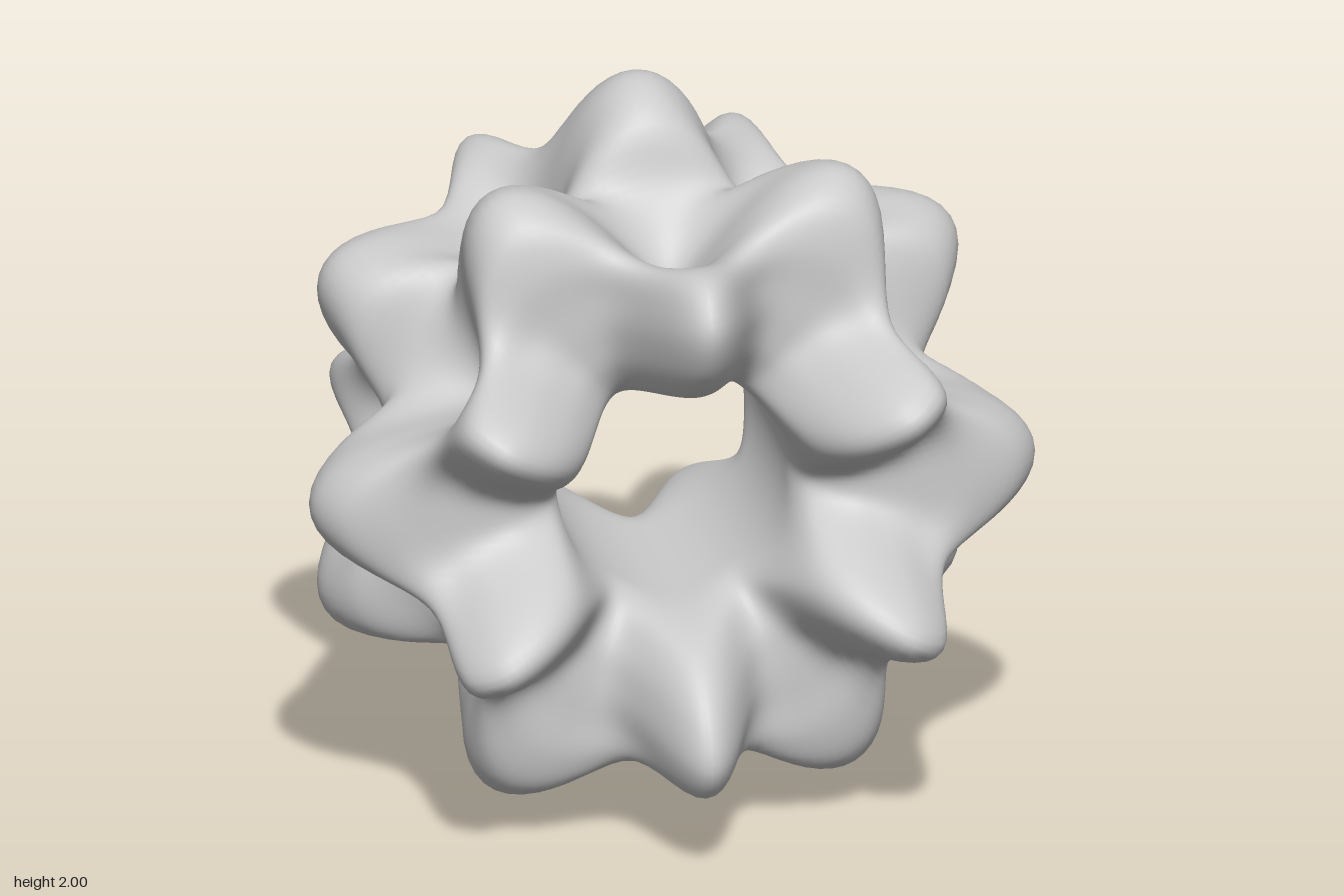
import * as THREE from 'three';

// Half cross-section from the outer equator over the rim into the hole,
// as (distance from the z axis, z): plain ring, outer knob and finger.
const RING = [
  [0.77, 0], [0.67, 0.08], [0.58, 0.17], [0.585, 0.28], [0.62, 0.37], [0.62, 0.4], [0.57, 0.4],
  [0.5, 0.4], [0.43, 0.38], [0.36, 0.33], [0.325, 0.25], [0.32, 0.13], [0.32, 0],
];
const KNOB = [
  [0.77, 0], [0.92, 0.06], [0.985, 0.15], [1.0, 0.25], [0.94, 0.35], [0.82, 0.395], [0.68, 0.4],
  [0.55, 0.4], [0.45, 0.385], [0.36, 0.33], [0.325, 0.25], [0.32, 0.13], [0.32, 0],
];
const FINGER = [
  [0.77, 0], [0.67, 0.08], [0.58, 0.18], [0.62, 0.32], [0.71, 0.45], [0.765, 0.58], [0.75, 0.69],
  [0.65, 0.76], [0.51, 0.71], [0.385, 0.57], [0.33, 0.4], [0.32, 0.15], [0.32, 0],
];
// How sharply the finger narrows at each point: thin outside, broad by the hole.
const TAPER = [1, 1.5, 2, 2.5, 2.6, 2.6, 2.2, 1.6, 1.2, 0.95, 0.9, 1, 1];

const HOLE = 0.32;
const AROUND = 192; // steps round the ring
const ACROSS = 120; // steps round the cross-section

// Half section where a knob has strength w and a finger the rest.
function halfSection(w, side) {
  return RING.map(([r, z], k) => {
    const finger = Math.pow(1 - w, TAPER[k]);
    return new THREE.Vector3(
      r + (KNOB[k][0] - r) * w + (FINGER[k][0] - r) * finger,
      side * (z + (KNOB[k][1] - z) * w + (FINGER[k][1] - z) * finger), 0);
  });
}

// Front and back halves swap knob and finger six times round the ring.
function sectionAt(u) {
  const w = THREE.MathUtils.clamp(0.5 + 0.5 * Math.cos(6 * u), 0, 1);
  const front = halfSection(w, 1);
  const back = halfSection(1 - w, -1).slice(1, -1).reverse();
  const curve = new THREE.CatmullRomCurve3([...front, ...back], true, 'centripetal');
  return Array.from({ length: ACROSS }, (_, j) => curve.getPoint(j / ACROSS));
}

function knobbedRing() {
  const positions = [];
  const index = [];
  for (let i = 0; i < AROUND; i++) {
    const u = (i / AROUND) * Math.PI * 2;
    const next = ((i + 1) % AROUND) * ACROSS;
    sectionAt(u).forEach((point, j) => {
      const r = Math.max(HOLE, point.x);
      positions.push(r * Math.cos(u), 1 + r * Math.sin(u), point.y);

      const j2 = (j + 1) % ACROSS;
      const p = i * ACROSS + j, q = next + j, s = next + j2, t = i * ACROSS + j2;
      index.push(p, q, s, p, s, t);
    });
  }
  const geometry = new THREE.BufferGeometry();
  geometry.setAttribute('position', new THREE.Float32BufferAttribute(positions, 3));
  geometry.setIndex(index);
  geometry.computeVertexNormals();
  return geometry;
}

export function createModel() {
  const group = new THREE.Group();
  group.name = 'knobbedSphere';
  const body = new THREE.Mesh(
    knobbedRing(), new THREE.MeshStandardMaterial({ color: 0xcccccc }));
  body.name = 'knobbedRing';
  group.add(body);
  return group;
}
